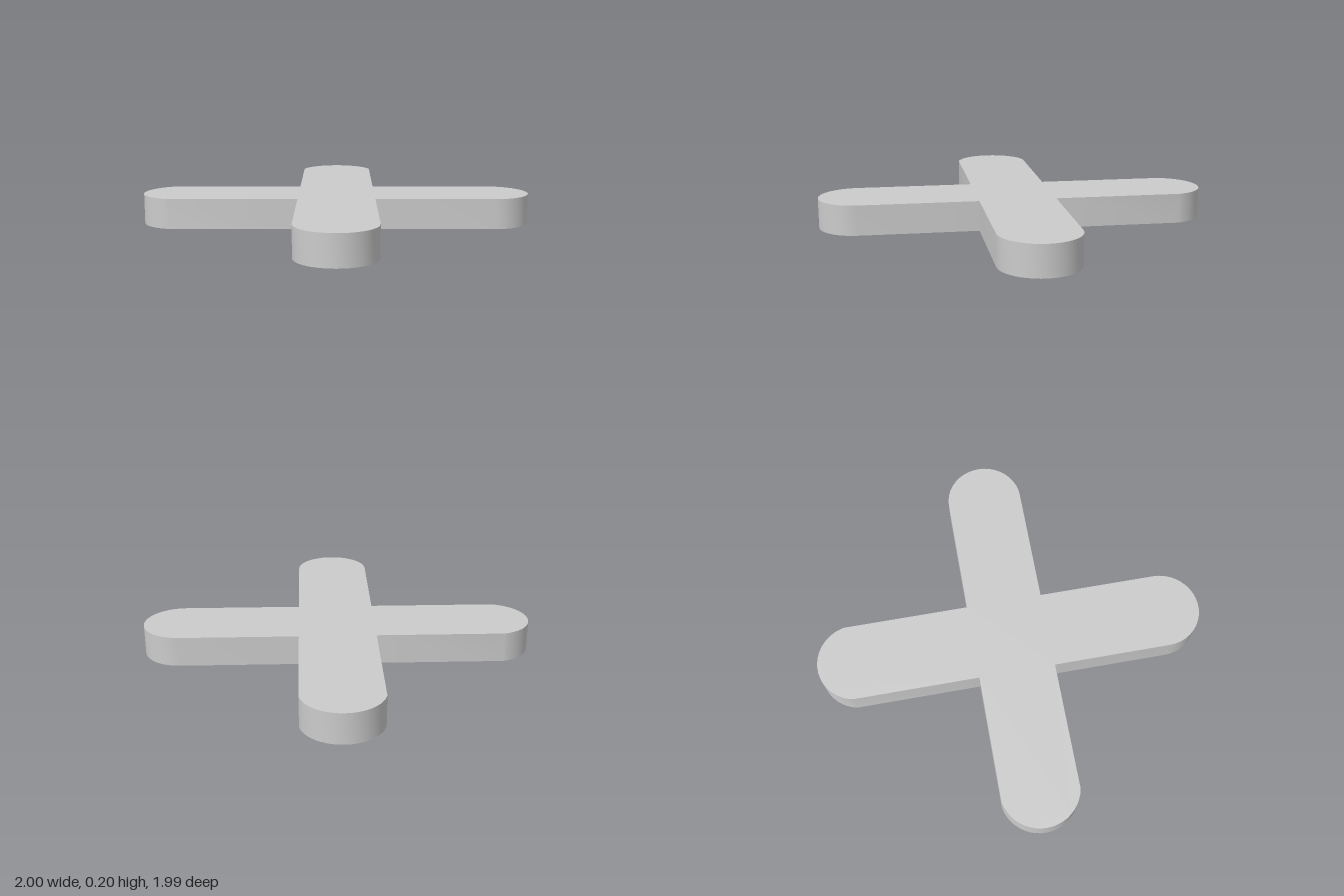
import * as THREE from 'three';
import { toCreasedNormals } from 'three/addons/utils/BufferGeometryUtils.js';

const HEIGHT = 0.2;
const HALF_WIDTH = 0.255; // half the width of each arm
const NOTCH = HALF_WIDTH * Math.SQRT2; // inner corner distance from the middle

// Rounded arm ends, counter-clockwise: two at the back, two at the front
const backEnd = { centre: 0.738, radius: 0.261 };
const frontEnd = { centre: 0.737, radius: HALF_WIDTH };
const arms = [backEnd, backEnd, frontEnd, frontEnd];

export function createModel() {
  const group = new THREE.Group();
  group.name = 'cross';

  // Outline: a rounded end followed by the next inner corner, for each arm
  const outline = new THREE.Shape();
  arms.forEach(({ centre, radius }, i) => {
    const axis = (i + 0.5) * Math.PI / 2;
    const reach = centre * Math.SQRT2;
    const sweep = Math.asin(HALF_WIDTH / radius);
    outline.absarc(reach * Math.cos(axis), reach * Math.sin(axis), radius, axis - sweep, axis + sweep, false);

    const corner = (i + 1) * Math.PI / 2;
    outline.lineTo(NOTCH * Math.cos(corner), NOTCH * Math.sin(corner));
  });
  outline.closePath();

  // Flat plate with rounded ends and sharp top and bottom edges
  const plate = new THREE.ExtrudeGeometry(outline, { depth: HEIGHT, bevelEnabled: false, curveSegments: 10 });
  plate.rotateX(-Math.PI / 2);
  const mesh = new THREE.Mesh(
    toCreasedNormals(plate, Math.PI / 5),
    new THREE.MeshStandardMaterial({ color: 0xcccccc })
  );
  mesh.name = 'crossPlate';
  group.add(mesh);
  return group;
}
